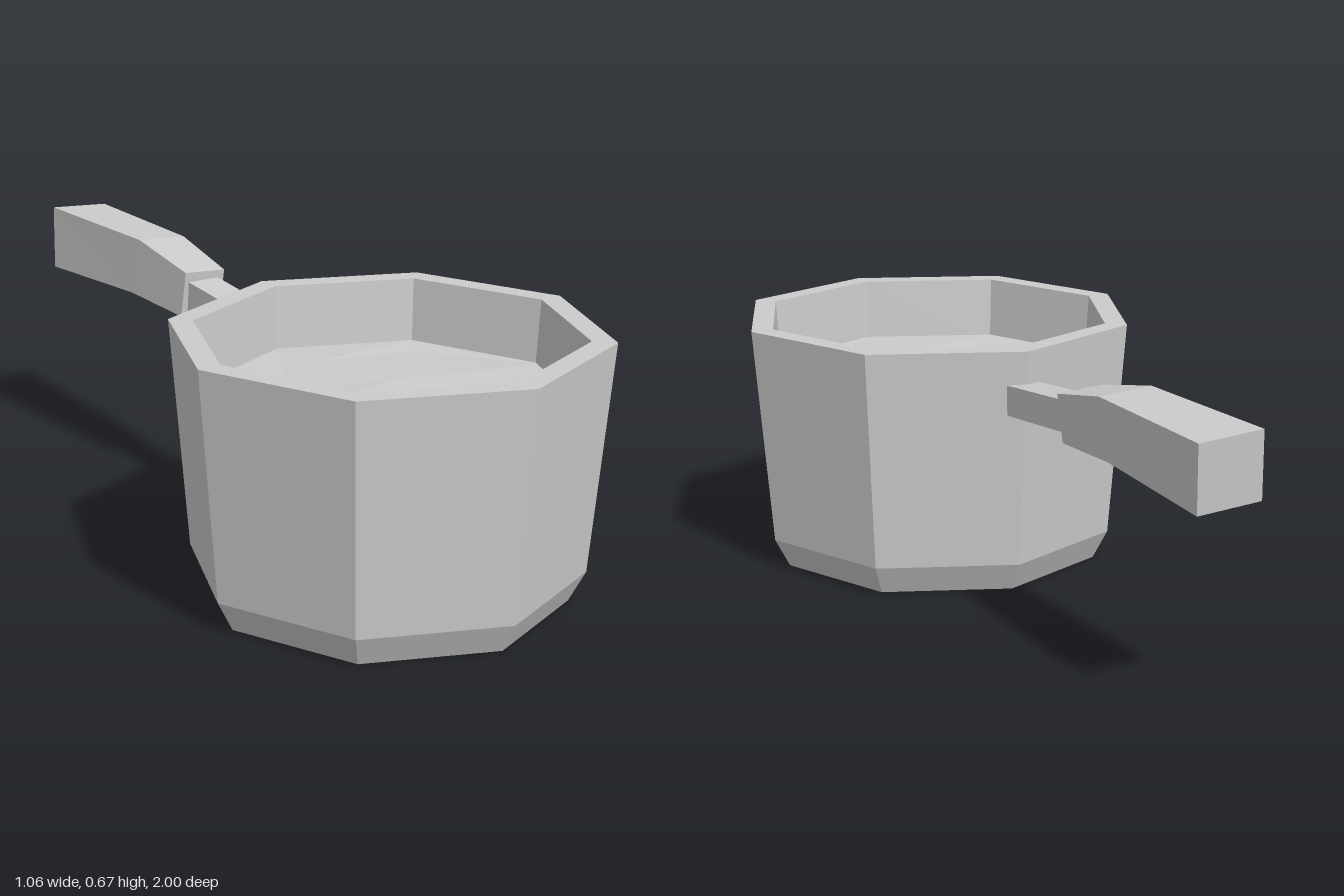
import * as THREE from 'three';

const SIDES = 8;
const POT_Z = 0.468;

const grey = () => new THREE.MeshStandardMaterial({ color: 0xcccccc, flatShading: true });

function indexedMesh(name, positions, indices) {
  const geo = new THREE.BufferGeometry();
  geo.setAttribute('position', new THREE.Float32BufferAttribute(positions, 3));
  geo.setIndex(indices);
  const flat = geo.toNonIndexed();
  flat.computeVertexNormals();
  const mesh = new THREE.Mesh(flat, grey());
  mesh.name = name;
  return mesh;
}

// Four-sided bar through cross-sections running towards -z.
// Each section: top [y, z], bottom [y, z], half width, roll about the z axis.
function loft(name, sections) {
  const pos = [], idx = [];
  for (const { top, bottom, half, roll = 0 } of sections) {
    const mid = (top[0] + bottom[0]) / 2;
    for (const [sx, [y, z]] of [[-1, top], [1, top], [1, bottom], [-1, bottom]]) {
      const x = sx * half, dy = y - mid;
      pos.push(x * Math.cos(roll) - dy * Math.sin(roll),
        mid + x * Math.sin(roll) + dy * Math.cos(roll), z);
    }
  }
  for (let s = 0; s < sections.length - 1; s++) {
    for (let j = 0; j < 4; j++) {
      const a = s * 4 + j, b = s * 4 + (j + 1) % 4;
      idx.push(a, b, b + 4, a, b + 4, a + 4);
    }
  }
  const e = (sections.length - 1) * 4;
  idx.push(3, 2, 1, 3, 1, 0, e, e + 1, e + 2, e, e + 2, e + 3);
  return indexedMesh(name, pos, idx);
}

// Slightly uneven contents: outer octagon, irregular inner ring and a middle point
function makeContents() {
  const pos = [], idx = [];
  const innerRadius = [0.22, 0.36, 0.33, 0.37, 0.3, 0.24, 0.29, 0.31];
  const innerHeight = [0.49, 0.482, 0.495, 0.487, 0.496, 0.484, 0.494, 0.485];
  const addRing = (radius, height) => {
    for (let i = 0; i < SIDES; i++) {
      const a = (i / SIDES) * Math.PI * 2;
      pos.push(Math.sin(a) * radius(i), height(i), Math.cos(a) * radius(i));
    }
  };
  addRing(() => 0.459, () => 0.49);
  addRing((i) => innerRadius[i], (i) => innerHeight[i]);
  pos.push(0.07, 0.5, -0.07);
  for (let i = 0; i < SIDES; i++) {
    const n = (i + 1) % SIDES;
    idx.push(i, n, SIDES + n, i, SIDES + n, SIDES + i);
    idx.push(SIDES + i, SIDES + n, SIDES * 2);
  }
  const mesh = indexedMesh('contents', pos, idx);
  mesh.position.z = POT_Z;
  return mesh;
}

export function createModel() {
  const model = new THREE.Group();
  model.name = 'saucepan';

  // Octagonal pot with chamfered foot, flat rim and inner wall
  const profile = [[0, 0], [0.443, 0], [0.483, 0.077], [0.53, 0.65], [0.47, 0.65], [0.457, 0.46]]
    .map(([r, y]) => new THREE.Vector2(r, y));
  const pot = new THREE.Mesh(new THREE.LatheGeometry(profile, SIDES), grey());
  pot.name = 'pot';
  pot.position.z = POT_Z;
  model.add(pot, makeContents());

  // Handle: thin stem, then a flared, slightly rolled grip
  const handle = new THREE.Group();
  handle.name = 'handle';
  const roll = -0.07;
  handle.add(
    loft('stem', [
      { top: [0.562, -0.03], bottom: [0.485, -0.037], half: 0.045 },
      { top: [0.593, -0.35], bottom: [0.514, -0.355], half: 0.045 },
    ]),
    loft('grip', [
      { top: [0.615, -0.333], bottom: [0.495, -0.345], half: 0.06, roll },
      { top: [0.659, -0.55], bottom: [0.508, -0.58], half: 0.07, roll },
      { top: [0.661, -1], bottom: [0.493, -0.982], half: 0.083, roll },
    ]),
  );
  model.add(handle);

  return model;
}
